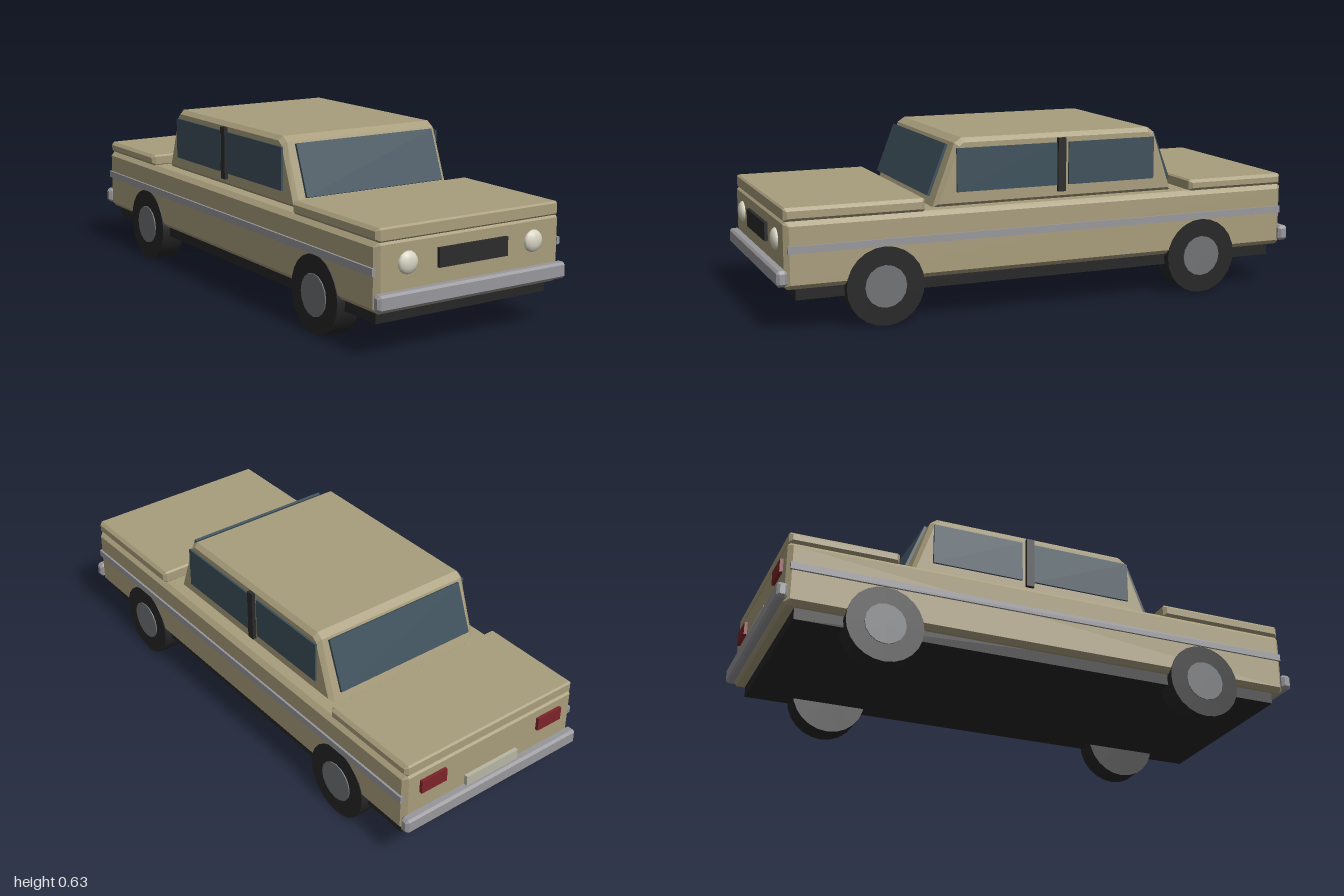
import * as THREE from 'three';

const mat = (name, color) => {
  const m = new THREE.MeshStandardMaterial({ color });
  m.name = name;
  return m;
};

export function createModel() {
  const car = new THREE.Group();
  car.name = 'car';
  const paint = mat('tan paint', 0xa89d7c);
  const glass = mat('blue grey glass', 0x3d505b);
  const black = mat('black trim', 0x2b2b2b);
  const rubber = mat('rubber', 0x262626);
  const chrome = mat('chrome', 0x98989c);
  const hubGrey = mat('hub grey', 0x707274);
  const lamp = mat('headlight cream', 0xd8d5c4);
  const red = mat('tail light red', 0x7c2428);
  const plateMat = mat('plate grey', 0xb8b6a4);

  const add = (name, geometry, material, x = 0, y = 0, z = 0) => {
    const mesh = new THREE.Mesh(geometry, material);
    mesh.name = name;
    mesh.position.set(x, y, z);
    car.add(mesh);
    return mesh;
  };
  const box = (name, material, w, h, d, x, y, z) =>
    add(name, new THREE.BoxGeometry(w, h, d), material, x, y, z);

  // Side profile of [z, y] points, extruded across the car with chamfered flanks
  const prism = (name, material, points, halfWidth, bevel) => {
    const shape = new THREE.Shape(points.map(([z, y]) => new THREE.Vector2(z, y)));
    const depth = 2 * (halfWidth - bevel);
    const g = new THREE.ExtrudeGeometry(shape, {
      depth, bevelEnabled: true, bevelSegments: 1,
      bevelSize: bevel, bevelThickness: bevel, bevelOffset: -bevel,
    });
    g.translate(0, 0, -depth / 2);
    g.rotateY(-Math.PI / 2);
    return add(name, g, material);
  };
  // Rectangular profile with small cut corners
  const slab = (name, material, z0, z1, y0, y1, halfWidth, bevel, c) =>
    prism(name, material, [
      [z0 + c, y0], [z1 - c, y0], [z1, y0 + c], [z1, y1 - c],
      [z1 - c, y1], [z0 + c, y1], [z0, y1 - c], [z0, y0 + c],
    ], halfWidth, bevel);

  // Bodywork
  slab('body', paint, -0.97, 0.97, 0.155, 0.39, 0.385, 0.017, 0.01);
  slab('hood', paint, 0.47, 0.968, 0.387, 0.435, 0.38, 0.012, 0.006);
  slab('trunkLid', paint, -0.968, -0.572, 0.387, 0.43, 0.38, 0.012, 0.006);
  prism('cabin', paint, [
    [0.425, 0.388], [0.342, 0.612], [0.315, 0.63],
    [-0.42, 0.63], [-0.445, 0.612], [-0.52, 0.388],
  ], 0.333, 0.016);
  box('chassis', rubber, 0.714, 0.09, 1.86, 0, 0.158, 0);

  // Sloping front and rear glass
  for (const [name, zLow, zHigh] of [['windshield', 0.432, 0.362], ['rearWindow', -0.525, -0.455]]) {
    const rise = 0.18;
    const pane = box(name, glass, 0.59, Math.hypot(rise, zHigh - zLow), 0.01,
      0, 0.517, (zLow + zHigh) / 2);
    pane.rotation.x = Math.atan2(zHigh - zLow, rise);
  }

  // Side glass, door pillars, waist trim and wheels
  for (const [side, s] of [['left', 1], ['right', -1]]) {
    box(side + 'FrontWindow', glass, 0.009, 0.155, 0.385, s * 0.336, 0.518, 0.147);
    box(side + 'RearWindow', glass, 0.009, 0.155, 0.345, s * 0.336, 0.518, -0.264);
    box(side + 'Pillar', black, 0.015, 0.195, 0.03, s * 0.3395, 0.515, -0.062);
    box(side + 'WaistTrim', chrome, 0.012, 0.026, 1.92, s * 0.387, 0.294, 0);
    for (const [end, z] of [['Front', 0.62], ['Rear', -0.62]]) {
      const tyre = new THREE.CylinderGeometry(0.14, 0.14, 0.089, 24).rotateZ(Math.PI / 2);
      add(side + end + 'Tyre', tyre, rubber, s * 0.3435, 0.14, z);
      const hub = new THREE.CylinderGeometry(0.075, 0.075, 0.092, 16).rotateZ(Math.PI / 2);
      add(side + end + 'Hub', hub, hubGrey, s * 0.346, 0.14, z);
    }
    // Lamps
    const bulb = new THREE.SphereGeometry(0.039, 12, 8).scale(1, 1, 0.5);
    add(side + 'Headlight', bulb, lamp, s * 0.262, 0.312, 0.97);
    box(side + 'TailLight', red, 0.11, 0.05, 0.02, s * 0.265, 0.325, -0.972);
  }

  // Nose and tail fittings
  box('grille', black, 0.286, 0.066, 0.02, 0, 0.312, 0.972);
  box('numberPlate', plateMat, 0.235, 0.055, 0.02, 0, 0.238, -0.974);
  slab('frontBumper', chrome, 0.962, 1, 0.17, 0.226, 0.394, 0.01, 0.008);
  slab('rearBumper', chrome, -1, -0.962, 0.17, 0.226, 0.394, 0.01, 0.008);
  return car;
}
